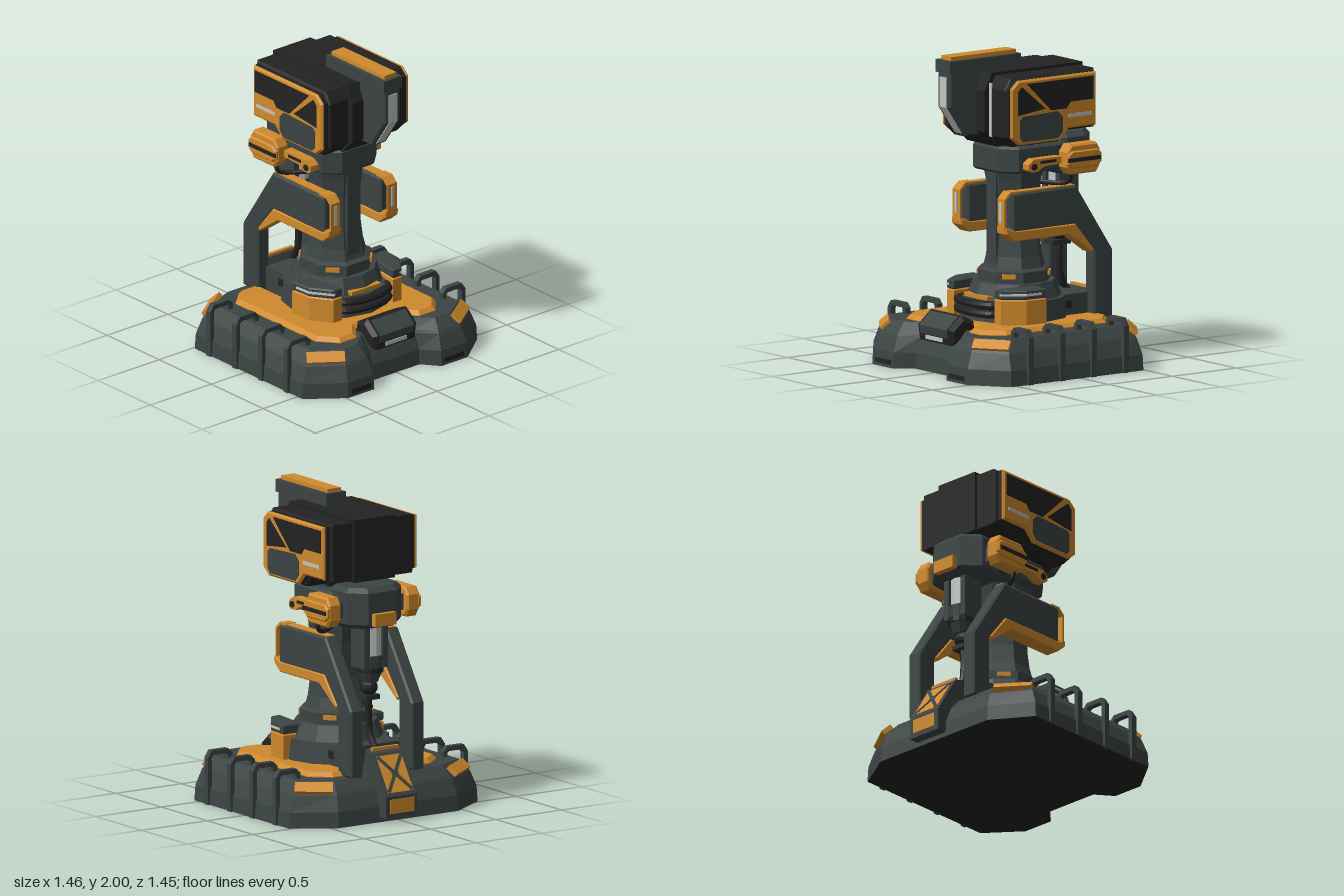
import * as THREE from 'three';

const mat = (name, color) => Object.assign(new THREE.MeshStandardMaterial({ color }), { name });
const GREY = mat('dark grey', 0x3c4444), BLACK = mat('black', 0x232323);
const ORANGE = mat('orange', 0xd08a2c), SILVER = mat('silver', 0xc4c6c6);
const EDGE = mat('charcoal', 0x2b3031);

// Adds a faceted mesh to a parent
function add(parent, name, geo, material, x = 0, y = 0, z = 0) {
  const g = geo.index ? geo.toNonIndexed() : geo;
  g.computeVertexNormals();
  const m = new THREE.Mesh(g, material);
  m.name = name;
  m.position.set(x, y, z);
  parent.add(m);
  return m;
}
const box = (w, h, d) => new THREE.BoxGeometry(w, h, d);
const cyl = (rt, rb, h, n = 16) => new THREE.CylinderGeometry(rt, rb, h, n);
const toShape = pts => new THREE.Shape(pts.map(p => new THREE.Vector2(p[0], p[1])));
function extrude(shape, t, b) {
  const g = new THREE.ExtrudeGeometry(shape, {
    depth: t - 2 * b, bevelEnabled: b > 0, bevelThickness: b, bevelSize: b, bevelOffset: -b, bevelSegments: 1, steps: 1, curveSegments: 6,
  });
  return g.translate(0, 0, b);
}
// Side profile of [z, y] points, extruded from x0 to x1
function sideProfile(pts, x0, x1, b = 0, hole) {
  const s = toShape(pts);
  if (hole) s.holes.push(toShape(hole));
  return extrude(s, x1 - x0, b).rotateY(-Math.PI / 2).translate(x1, 0, 0);
}
// Plan of [x, z] points, extruded from y0 to y1
const plan = (pts, y0, y1, b = 0) => extrude(toShape(pts), y1 - y0, b).rotateX(Math.PI / 2).translate(0, y1, 0);
const mirrored = half => [...half, ...half.map(([x, z]) => [-x, z]).reverse()];
const flipX = geo => {
  const g = (geo.index ? geo.toNonIndexed() : geo).scale(-1, 1, 1), p = g.attributes.position;
  for (let i = 0; i < p.count; i += 3) {
    const a = [p.getX(i), p.getY(i), p.getZ(i)];
    p.setXYZ(i, p.getX(i + 1), p.getY(i + 1), p.getZ(i + 1));
    p.setXYZ(i + 1, ...a);
  }
  return g;
};
// Adds a part on the left and its mirror on the right
function pair(parent, name, geo, material) {
  add(parent, name + 'Left', geo.clone(), material);
  add(parent, name + 'Right', flipX(geo), material);
}
const tube = (pts, r) => new THREE.TubeGeometry(new THREE.CatmullRomCurve3(pts.map(p => new THREE.Vector3(...p))), 16, r, 8);

// Outline of the base, inset by d
const baseOutline = d => mirrored([[0.19, 0.61 - d], [0.275 + 0.4 * d, 0.72 - d], [0.49 - 0.4 * d, 0.72 - d],
  [0.717 - d, 0.547 - 0.4 * d], [0.717 - d, -0.488 + 0.4 * d], [0.455 - 0.4 * d, -0.652 + d]]);

function baseSides() {
  const rings = [[0, 0], [0.1, 0.006], [0.2, 0.045], [0.215, 0.055], [0.28, 0.115]];
  const pos = [];
  for (let i = 0; i + 1 < rings.length; i++) {
    const [y0, d0] = rings[i], [y1, d1] = rings[i + 1];
    const lo = baseOutline(d0), hi = baseOutline(d1);
    lo.forEach((p, k) => {
      const n = (k + 1) % lo.length;
      const a = [p[0], y0, p[1]], b = [lo[n][0], y0, lo[n][1]], c = [hi[n][0], y1, hi[n][1]], e = [hi[k][0], y1, hi[k][1]];
      pos.push(...a, ...b, ...c, ...a, ...c, ...e);
    });
  }
  return new THREE.BufferGeometry().setAttribute('position', new THREE.Float32BufferAttribute(pos, 3));
}

function buildBase(root) {
  const g = new THREE.Group();
  g.name = 'base';
  root.add(g);
  add(g, 'baseSides', baseSides(), GREY);
  add(g, 'baseFloor', plan(baseOutline(0.002), 0, 0.01), BLACK);
  add(g, 'baseDeck', plan(baseOutline(0.115), 0.2, 0.28), GREY);
  add(g, 'deckPlate', plan(mirrored([[0.17, 0.42], [0.26, 0.53], [0.39, 0.53], [0.49, 0.41], [0.49, -0.363],
    [0.37, -0.47], [0.22, -0.47], [0.22, -0.1]]), 0.25, 0.31, 0.025), ORANGE);
  // Corner lamps on the sloping shoulder
  for (const sx of [1, -1]) for (const sz of [1, -1]) {
    const m = add(g, 'cornerLamp', box(0.24, 0.03, 0.075), ORANGE, sx * 0.55, 0.243, sz > 0 ? 0.575 : -0.52);
    m.rotation.order = 'YXZ';
    m.rotation.y = (sz > 0 ? 0 : Math.PI) + sx * sz * 0.62;
    m.rotation.x = 0.72;
  }
  // Side hoops
  const hoop = [[0.73, 0], [0.73, 0.3], [0.7, 0.345], [0.575, 0.345], [0.545, 0.315], [0.545, 0.27], [0.575, 0.27],
    [0.575, 0.305], [0.585, 0.315], [0.685, 0.315], [0.7, 0.295], [0.7, 0]];
  for (const z of [-0.344, -0.094, 0.152, 0.4])
    pair(g, 'hoop', extrude(toShape(hoop), 0.04, 0).translate(0, 0, z - 0.02), GREY);
  for (const x of [-0.38, 0.38]) add(g, 'frontSlot', box(0.16, 0.03, 0.008), BLACK, x, 0.035, 0.719);
  // Front console
  add(g, 'console', sideProfile([[0.6, 0.19], [0.615, 0.29], [0.515, 0.375], [0.42, 0.33], [0.4, 0.2]], -0.18, 0.18, 0.025), BLACK);
  add(g, 'consoleScreen', sideProfile([[0.609, 0.235], [0.62, 0.288], [0.53, 0.367], [0.5, 0.3]], -0.14, 0.14), GREY);
  add(g, 'consoleLamp', box(0.17, 0.025, 0.02), SILVER, 0, 0.217, 0.602);
  // Rear ramp with crossed bars
  const r = new THREE.Group();
  r.name = 'rearRamp';
  r.position.x = 0.02;
  g.add(r);
  add(r, 'rampBody', sideProfile([[-0.46, 0.3], [-0.5, 0.44], [-0.56, 0.42], [-0.72, 0.17], [-0.72, 0.03], [-0.6, 0.03]], -0.12, 0.12), GREY);
  add(r, 'rampLowerPanel', box(0.18, 0.09, 0.008), ORANGE, 0, 0.105, -0.722);
  const slope = new THREE.Group();
  slope.name = 'rampSlope';
  slope.position.set(0, 0.295, -0.64);
  slope.rotation.x = -Math.atan2(0.25, 0.16);
  r.add(slope);
  add(slope, 'rampPanel', box(0.19, 0.008, 0.25), ORANGE);
  for (const s of [1, -1]) add(slope, 'rampCross', box(0.022, 0.009, 0.3), GREY, 0, 0.003).rotation.y = s * 0.64;
  add(slope, 'rampHub', box(0.05, 0.009, 0.05), GREY, 0, 0.004);
  add(r, 'rampTopLamp', box(0.2, 0.02, 0.025), ORANGE, 0, 0.44, -0.53);
}

function buildPedestal(g) {
  add(g, 'pedestalFoot', cyl(0.33, 0.35, 0.17, 12), GREY, 0, 0.355, 0);
  add(g, 'pedestalRing', cyl(0.26, 0.3, 0.1, 12), GREY, 0, 0.49, 0);
  add(g, 'rearHousing', box(0.44, 0.16, 0.32), GREY, 0, 0.36, -0.25);
  for (const s of [1, -1]) add(g, 'housingVent', box(0.008, 0.05, 0.1), BLACK, s * 0.221, 0.375, -0.24);
  // Shoulder pods
  const pod = [[0.21, 0.31], [0.28, 0.31], [0.37, 0.18], [0.38, 0.03], [0.24, 0.03]];
  pair(g, 'pod', plan(pod, 0.3, 0.47, 0.008), ORANGE);
  pair(g, 'podCap', plan(pod, 0.47, 0.53, 0.008), GREY);
  pair(g, 'podLamp', plan([[0.23, 0.3], [0.278, 0.315], [0.374, 0.183], [0.382, 0.07], [0.3, 0.1]], 0.492, 0.507), SILVER);
  // Front hoses
  for (const y of [0.365, 0.42]) add(g, 'frontHose', tube([[-0.2, y, 0.25], [-0.17, y, 0.31], [0, y, 0.35], [0.17, y, 0.31], [0.2, y, 0.25]], 0.027), BLACK);
  add(g, 'frontLamp', box(0.24, 0.025, 0.06), ORANGE, 0, 0.455, 0.27);
  // Flared octagonal column
  const prof = [[0.235, 0.53], [0.235, 0.61], [0.2, 0.625], [0.18, 0.7], [0.165, 0.82], [0.165, 1.05], [0.18, 1.18], [0.2, 1.27]];
  add(g, 'column', new THREE.LatheGeometry(prof.map(p => new THREE.Vector2(...p)), 8).rotateY(Math.PI / 8), GREY);
  add(g, 'columnRib', box(0.1, 0.6, 0.03), GREY, 0, 0.93, 0.162);
  for (let i = 0; i < 4; i++) {
    const a = Math.PI / 4 + i * Math.PI / 2;
    add(g, 'columnLamp', box(0.085, 0.03, 0.04), ORANGE, Math.sin(a) * 0.21, 0.585, Math.cos(a) * 0.21).rotation.y = a;
  }
}

function buildArms(g) {
  // Bent supports with an orange bumper loop
  pair(g, 'supportArm', sideProfile([[0.22, 0.88], [0.22, 1.13], [-0.28, 1.135], [-0.565, 0.705], [-0.565, 0.28], [-0.415, 0.28],
    [-0.415, 0.71], [-0.27, 0.89]], 0.185, 0.28, 0.012), GREY);
  pair(g, 'armUnderPlate', sideProfile([[0.275, 0.92], [0.27, 0.88], [0.21, 0.83], [-0.22, 0.83], [-0.4, 0.7], [-0.415, 0.72],
    [-0.27, 0.895], [0.2, 0.895]], 0.18, 0.285, 0.006), ORANGE);
  pair(g, 'armFrontLoop', sideProfile([[0.275, 0.9], [0.275, 1.1], [0.23, 1.143], [0.16, 1.143], [0.16, 0.89]], 0.195, 0.27, 0,
    [[0.262, 0.92], [0.262, 1.09], [0.225, 1.125], [0.215, 1.125], [0.215, 0.91]]), ORANGE);
  pair(g, 'armTopStrip', box(0.06, 0.008, 0.48).translate(0.232, 1.136, -0.04), ORANGE);
  pair(g, 'armLamp', box(0.022, 0.13, 0.008).translate(0.232, 1.015, 0.277), SILVER);
}

function buildCollar(g) {
  add(g, 'collar', plan(mirrored([[0.13, 0.22], [0.225, 0.13], [0.225, -0.25], [0.17, -0.3]]), 1.24, 1.41, 0.015), GREY);
  add(g, 'neck', cyl(0.2, 0.2, 0.08, 8), GREY, 0, 1.42, 0.02);
  add(g, 'rearBlock', plan(mirrored([[0.17, -0.2], [0.21, -0.26], [0.21, -0.41], [0.11, -0.51]]), 1.2, 1.46, 0.03), GREY);
  add(g, 'rearLamp', box(0.16, 0.08, 0.04), ORANGE, 0, 1.26, -0.525);
  // Side thrusters in three layers
  const hex = k => [[-0.155, 1.315 - k / 2], [-0.155, 1.315 + k / 2], [-0.19, 1.315 + k], [-0.39, 1.315 + k], [-0.42, 1.315 + k / 2],
    [-0.42, 1.315 - k / 2], [-0.39, 1.315 - k], [-0.19, 1.315 - k]];
  pair(g, 'thruster', sideProfile(hex(0.095), 0.25, 0.345, 0.012), ORANGE);
  pair(g, 'thrusterFace', sideProfile(hex(0.055), 0.33, 0.36, 0.008), ORANGE);
  pair(g, 'thrusterSlot', box(0.012, 0.025, 0.25).translate(0.36, 1.315, -0.28), BLACK);
  pair(g, 'thrusterMount', box(0.08, 0.1, 0.18).translate(0.235, 1.315, -0.29), GREY);
  pair(g, 'linkArm', sideProfile([[0.1, 1.27], [0.1, 1.305], [0.06, 1.335], [-0.16, 1.335], [-0.16, 1.29], [-0.02, 1.285], [0.03, 1.255], [0.08, 1.255]], 0.225, 0.29), ORANGE);
  pair(g, 'linkSlot', box(0.008, 0.018, 0.12).translate(0.291, 1.313, -0.05), BLACK);
  pair(g, 'linkPin', cyl(0.022, 0.022, 0.02, 8).rotateZ(Math.PI / 2).translate(0.288, 1.288, 0.06), BLACK);
  pair(g, 'sideHose', tube([[0.3, 1.23, -0.22], [0.285, 1.175, -0.22], [0.24, 1.155, -0.2], [0.12, 1.155, -0.12]], 0.015), BLACK);
  // Hanging rear piston
  add(g, 'pistonSleeve', cyl(0.075, 0.075, 0.26, 12), SILVER, 0, 1.1, -0.365);
  for (const s of [1, -1]) add(g, 'pistonGuard', box(0.04, 0.3, 0.15), GREY, s * 0.07, 1.08, -0.365);
  add(g, 'pistonCup', cyl(0.092, 0.08, 0.08, 12), GREY, 0, 0.97, -0.37);
  add(g, 'pistonRing', cyl(0.085, 0.085, 0.03, 12), BLACK, 0, 0.915, -0.37);
  add(g, 'pistonEnd', cyl(0.08, 0.05, 0.07, 12), GREY, 0, 0.87, -0.37);
  add(g, 'pistonJoint', new THREE.SphereGeometry(0.055, 10, 8), BLACK, 0, 0.8, -0.36);
  add(g, 'pistonBracket', box(0.1, 0.03, 0.14), EDGE, 0, 0.74, -0.34);
  add(g, 'pistonHose', tube([[0, 0.78, -0.36], [0, 0.6, -0.355], [0, 0.5, -0.37], [0, 0.4, -0.44]], 0.022), BLACK);
}

function buildHead(g) {
  add(g, 'headCore', sideProfile([[0.345, 1.52], [0.345, 1.78], [0.29, 1.89], [-0.42, 1.89], [-0.42, 1.49], [-0.185, 1.49],
    [-0.13, 1.42], [0.25, 1.42]], -0.155, 0.155), BLACK);
  add(g, 'headShell', sideProfile([[0.305, 1.5], [0.305, 1.8], [0.26, 1.872], [-0.4, 1.872], [-0.4, 1.5], [-0.18, 1.5],
    [-0.12, 1.435], [0.24, 1.435]], -0.31, 0.31, 0.012), BLACK);
  add(g, 'headLamp', box(0.022, 0.34, 0.008), SILVER, 0.168, 1.66, 0.307);
  // Side panels: black backing, orange plate, thin windows
  const outline = [[0.29, 1.81], [0.235, 1.86], [-0.375, 1.86], [-0.375, 1.52], [-0.165, 1.52], [-0.1, 1.45], [0.23, 1.45], [0.29, 1.5]];
  pair(g, 'panelBacking', sideProfile(outline, 0.3, 0.335), BLACK);
  pair(g, 'sidePanel', sideProfile(outline, 0.33, 0.36, 0.012), ORANGE);
  const inset = (name, pts, m) => pair(g, name, sideProfile(pts, 0.356, 0.364), m);
  inset('upperWindow', [[0.17, 1.835], [-0.35, 1.835], [-0.35, 1.69], [-0.17, 1.69], [-0.14, 1.65], [-0.02, 1.65]], BLACK);
  inset('frontWindow', [[0.24, 1.79], [0.21, 1.82], [0.025, 1.665], [0.24, 1.64]], BLACK);
  inset('lowerWindow', [[0.225, 1.61], [0.2, 1.63], [-0.07, 1.64], [-0.11, 1.6], [-0.11, 1.51], [-0.075, 1.47], [0.2, 1.47], [0.225, 1.5]], GREY);
  inset('panelLamp', [[-0.155, 1.59], [-0.155, 1.612], [-0.335, 1.612], [-0.335, 1.59]], SILVER);
  // Front fin and top rail
  add(g, 'fin', sideProfile([[0.3, 1.49], [0.42, 1.49], [0.55, 1.68], [0.55, 1.92], [0.3, 1.92]], -0.065, 0.065, 0.012), GREY);
  add(g, 'finLamp', sideProfile([[0.4, 1.505], [0.436, 1.505], [0.556, 1.68], [0.556, 1.87], [0.5, 1.87], [0.5, 1.68]], -0.034, 0.034), SILVER);
  add(g, 'topRail', box(0.15, 0.08, 0.555), GREY, 0, 1.935, 0.277);
  add(g, 'railLamp', box(0.1, 0.027, 0.51), ORANGE, 0, 1.9865, 0.275);
}

export function createModel() {
  const root = new THREE.Group();
  root.name = 'turret';
  buildBase(root);
  const parts = { pedestal: buildPedestal, supportArms: buildArms, collar: buildCollar, head: buildHead };
  for (const [name, build] of Object.entries(parts)) {
    const g = new THREE.Group();
    g.name = name;
    g.position.x = 0.02;
    build(g);
    root.add(g);
  }
  return root;
}
